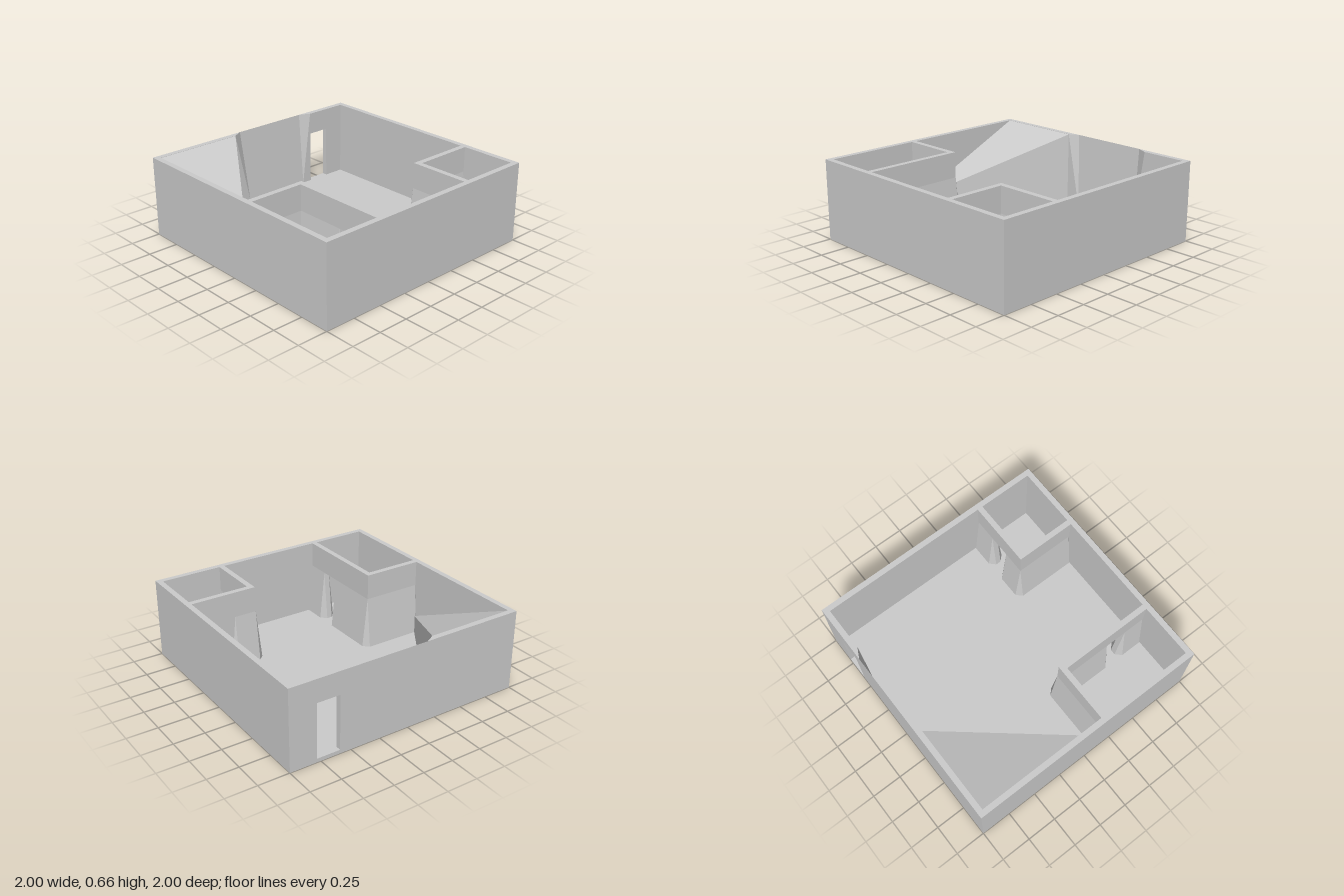
import * as THREE from 'three';

const H = 0.66, FLOOR = 0.03, T = 0.045, IN = 1 - T, LINTEL = 0.45;
const material = new THREE.MeshStandardMaterial({ color: 0xcccccc, flatShading: true });

function addMesh(group, name, geometry) {
  const mesh = new THREE.Mesh(geometry, material);
  mesh.name = name;
  group.add(mesh);
}

// Box given by its limits on each axis
function addBox(group, name, [x0, x1], [y0, y1], [z0, z1]) {
  const g = new THREE.BoxGeometry(x1 - x0, y1 - y0, z1 - z0);
  g.translate((x0 + x1) / 2, (y0 + y1) / 2, (z0 + z1) / 2);
  addMesh(group, name, g);
}

// Flat faces, each a convex loop of corners, counter-clockwise from outside
function facesGeometry(faces) {
  const pos = [];
  for (const f of faces)
    for (let i = 1; i < f.length - 1; i++) pos.push(...f[0], ...f[i], ...f[i + 1]);
  const g = new THREE.BufferGeometry();
  g.setAttribute('position', new THREE.Float32BufferAttribute(pos, 3));
  g.computeVertexNormals();
  return g;
}

// Lower wall flaring outwards to the floor. The [x, z] outline runs with
// its outside on the side (dz, -dx); outer corners are chamfered at the base.
function flareGeometry(outline) {
  const n = outline.length, top = [], base = [];
  const normal = (i) => {
    const a = outline[i % n], b = outline[(i + 1) % n];
    return new THREE.Vector2(b[1] - a[1], a[0] - b[0]).normalize().multiplyScalar(T);
  };
  outline.forEach(([x, z], i) => {
    const p = normal(i + n - 1), q = normal(i);
    const offsets = p.cross(q) > 0 ? [p, q] : [p.clone().add(q)];
    for (const o of offsets) {
      top.push([x, LINTEL, z]);
      base.push([x + o.x, FLOOR, z + o.y]);
    }
  });
  const faces = [];
  top.forEach((t, i) => {
    const j = (i + 1) % top.length;
    faces.push([base[i], t, top[j]], [base[i], top[j], base[j]]);
  });
  return facesGeometry(faces);
}

function createShell(group) {
  const wall = [FLOOR, H];
  addBox(group, 'floor', [-1, 1], [0, FLOOR], [-1, 1]);
  addBox(group, 'frontWall', [-1, 1], wall, [IN, 1]);
  for (const s of [-1, 1])
    addBox(group, s > 0 ? 'leftWall' : 'rightWall', s > 0 ? [IN, 1] : [-1, -IN], wall, [-IN, IN]);

  // Back wall with its doorway
  addBox(group, 'backWallCorner', [-1, -0.23], wall, [-1, -IN]);
  addBox(group, 'backWallDoorSide', [0.78, 1], wall, [-1, -IN]);
  addBox(group, 'backWallLintel', [0.59, 0.78], [0.475, H], [-1, -IN]);

  // Recessed stretch, thinning to an edge at the top
  const a = [-0.23, H, -IN], b = [-0.15, H, -1], c = [0.5, H, -1], d = [0.59, H, -IN];
  const e = [-0.23, FLOOR, -IN], f = [-0.1, FLOOR, -IN], g = [0.5, FLOOR, -IN], h = [0.59, FLOOR, -IN];
  const a2 = [-0.23, H, -1], d2 = [0.59, H, -1], e2 = [-0.23, FLOOR, -1], h2 = [0.59, FLOOR, -1];
  addMesh(group, 'backWallRecess', facesGeometry([
    [f, g, c], [f, c, b], [a, f, b], [d, c, g],
    [e, f, a], [g, h, d],
    [a, b, a2], [d, d2, c],
    [a2, d2, h2, e2], [h, h2, d2, d],
  ]));
}

// Corner ramp sloping down to the front, with an upright diagonal side
function createRamp(group) {
  const A = [-IN, H - 0.002, -IN], B = [-0.23, H - 0.002, -IN], C = [-IN, 0.16, 0.13];
  const B0 = [-0.23, FLOOR, -IN], C0 = [-IN, FLOOR, 0.13];
  addMesh(group, 'cornerRamp', facesGeometry([[A, C, B], [C, C0, B0, B]]));
}

function createPartitions(group) {
  const top = [LINTEL, H], END = 0.95, D0 = 0.59, D1 = 0.77;

  // Left front room, door facing the back
  const left = new THREE.Group();
  left.name = 'leftRoomPartition';
  addBox(left, 'upperWallBack', [0.405, IN], top, [0.455, 0.5]);
  addBox(left, 'upperWallSide', [0.405, 0.45], top, [0.5, IN]);
  addMesh(left, 'flaredCorner', flareGeometry(
    [[0.405, 0.455], [D0, 0.455], [D0, 0.5], [0.45, 0.5], [0.45, END], [0.405, END]]));
  addMesh(left, 'flaredDoorSide', flareGeometry(
    [[D1, 0.455], [END, 0.455], [END, 0.5], [D1, 0.5]]));

  // Right front room, door facing the middle
  const right = new THREE.Group();
  right.name = 'rightRoomPartition';
  addBox(right, 'upperWallBack', [-IN, -0.46], top, [0.135, 0.18]);
  addBox(right, 'upperWallSide', [-0.505, -0.46], top, [0.18, IN]);
  addMesh(right, 'flaredCorner', flareGeometry(
    [[-END, 0.135], [-0.46, 0.135], [-0.46, D0], [-0.505, D0], [-0.505, 0.18], [-END, 0.18]]));
  addMesh(right, 'flaredDoorSide', flareGeometry(
    [[-0.505, D1], [-0.46, D1], [-0.46, END], [-0.505, END]]));

  group.add(left, right);
}

export function createModel() {
  const model = new THREE.Group();
  model.name = 'roomBlock';
  createShell(model);
  createRamp(model);
  createPartitions(model);
  return model;
}
